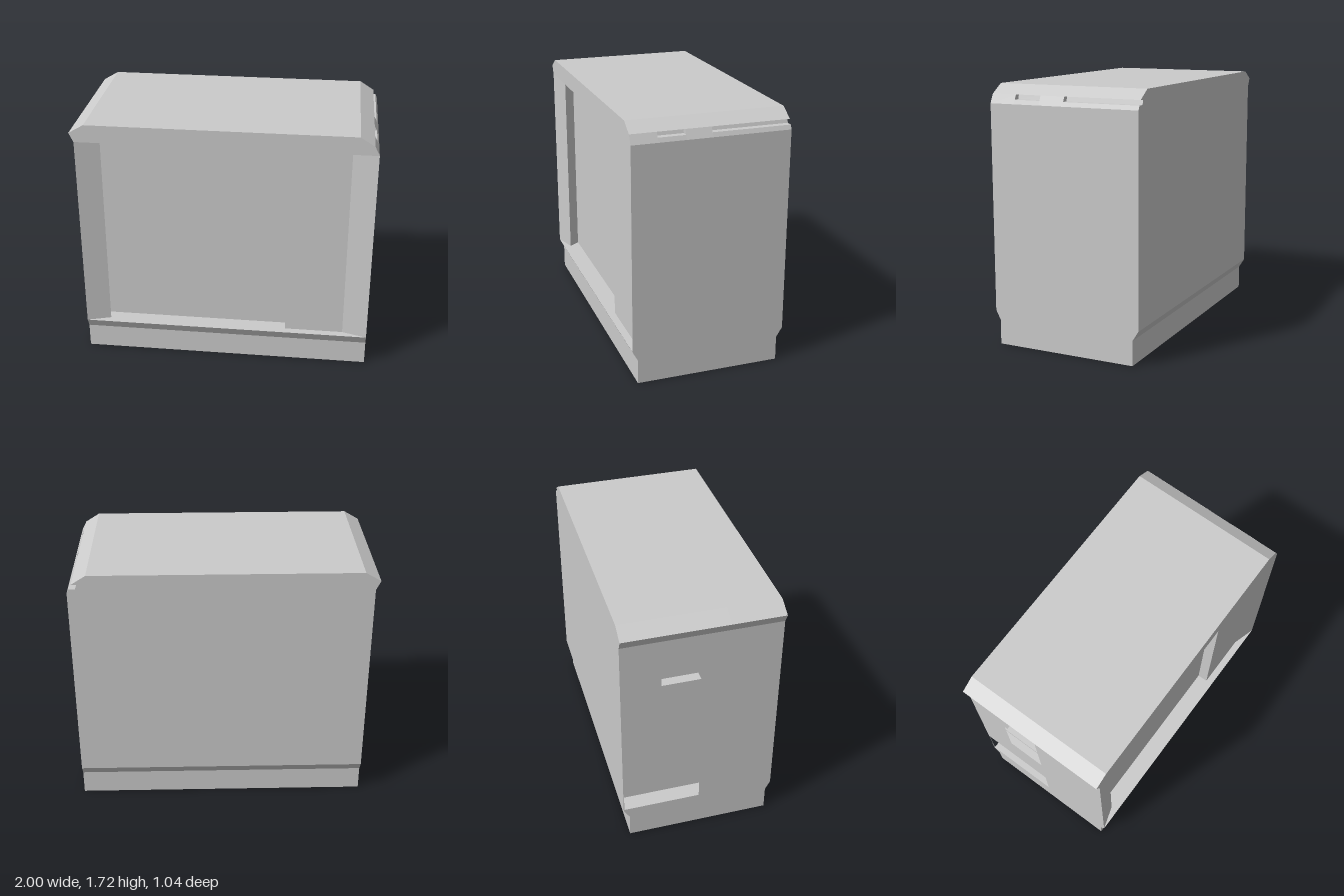
import * as THREE from 'three';

const material = new THREE.MeshStandardMaterial({ color: 0xcccccc, flatShading: true });
const points = (list) => list.map(([a, b]) => new THREE.Vector2(a, b));
const rect = (a0, a1, b0, b1) => [[a0, b0], [a1, b0], [a1, b1], [a0, b1]];

const extrude = (outline, depth, holes = []) => {
  const shape = new THREE.Shape(points(outline));
  holes.forEach((hole) => shape.holes.push(new THREE.Path(points(hole))));
  return new THREE.ExtrudeGeometry(shape, { depth, bevelEnabled: false });
};

// Side outline in (z, y), extruded along x
const alongX = (outline, x0, x1, holes = []) => {
  const flip = (list) => list.map(([z, y]) => [-z, y]);
  return extrude(flip(outline), x1 - x0, holes.map(flip)).rotateY(Math.PI / 2).translate(x0, 0, 0);
};

// Plan outline in (x, z), extruded upwards
const upwards = (outline, y0, y1) =>
  extrude(outline, y1 - y0).rotateX(Math.PI / 2).translate(0, y1, 0);

export function createModel() {
  const model = new THREE.Group();
  const add = (name, geometry, parent = model) => {
    const mesh = new THREE.Mesh(geometry, material);
    mesh.name = name;
    parent.add(mesh);
  };

  const left = -0.97, right = 0.995, back = -0.52, front = 0.523;
  const ledge = 0.23, eaves = 1.6;
  const doorZ = 0.4, panelZ = 0.473;

  // Plinth, flaring out to the ledge
  add('plinth', alongX([[-0.48, 0], [0.49, 0], [0.49, 0.165], [front, ledge],
    [back, ledge], [-0.48, 0.165]], left, right));

  // Inner body, whose front is the recessed door
  add('body', alongX(rect(back, doorZ, ledge, eaves), -0.85, 0.945));

  // Front panels either side of the door, flaring forward at the corners
  add('leftFrontPanel', upwards([[0.43, doorZ], [0.945, doorZ], [0.945, panelZ], [right, panelZ],
    [right, front], [0.83, panelZ], [0.43, panelZ]], ledge, eaves));
  add('rightFrontPanel', upwards([[left, doorZ], [-0.86, doorZ], [-0.81, panelZ], [left, front]],
    ledge, eaves));

  // End wall with one large shallow recess
  add('leftEndWall', alongX(rect(back, panelZ, ledge, eaves), 0.945, right,
    [rect(-0.41, 0.42, 0.35, 1.48)]));

  // Opposite end wall with two stacked niches and a deeper low one
  const niches = [rect(-0.26, 0.005, 0.92, 1.24), rect(-0.26, 0.005, 1.26, 1.58)];
  add('rightEndWall', alongX(rect(back, doorZ, ledge, eaves), left, -0.85,
    [...niches, rect(-0.515, 0.005, 0.24, 0.56)]));
  niches.forEach((niche) => add('nicheBack', alongX(niche, left + 0.065, -0.85)));

  // Roof with chamfered ends, and slots in one end
  const roof = new THREE.Group();
  roof.name = 'roof';
  model.add(roof);
  const slot = [[0.982, 1.628], [0.94, 1.628], [0.93, 1.658]];
  const sections = [[back, 0, true], [0, 0.17, false], [0.17, 0.35, true], [0.35, front, false]];
  for (const [z0, z1, slotted] of sections) {
    const outline = [[left, eaves], [right, eaves], ...(slotted ? slot : []),
      [0.965, 1.66], [0.87, 1.72], [-0.9, 1.72], [-1, 1.662]];
    add('roofSection', extrude(outline, z1 - z0).translate(0, 0, z0), roof);
  }

  return model;
}
